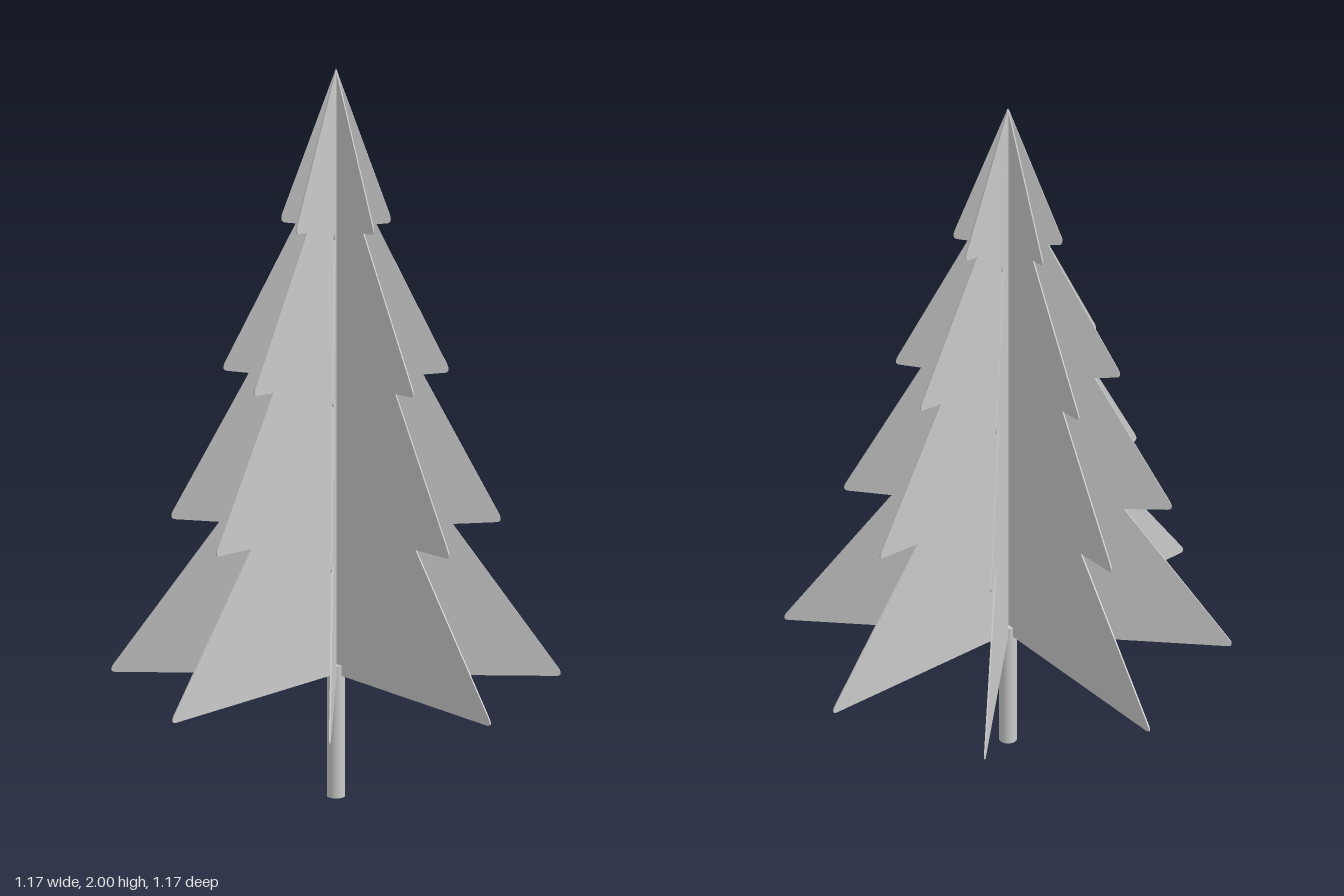
import * as THREE from 'three';

const THICKNESS = 0.004;

// Half silhouette, from the top point down the stepped edge to the trunk axis
function finShape() {
  // [tip radius, tip bottom y, notch radius, notch y]
  const tiers = [
    [0.149, 1.578, 0.105, 1.576],
    [0.301, 1.168, 0.227, 1.163],
    [0.437, 0.758, 0.304, 0.752],
    [0.595, 0.336, 0, 0.336],
  ];
  const shape = new THREE.Shape();
  shape.moveTo(0, 2);
  let px = 0.003, py = 1.995;
  shape.lineTo(px, py);
  for (const [tx, ty, nx, ny] of tiers) {
    // Rounded branch tip
    const len = Math.hypot(tx - px, ty - py), r = 0.027;
    shape.lineTo(tx - (tx - px) / len * r, ty - (ty - py) / len * r);
    shape.quadraticCurveTo(tx, ty, tx - 0.02, ty);
    shape.lineTo(nx, ny);
    px = nx;
    py = ny;
  }
  shape.closePath();
  return shape;
}

export function createModel() {
  const tree = new THREE.Group();
  tree.name = 'tree';
  const material = new THREE.MeshStandardMaterial({ color: 0xcccccc });

  // Eight flat fins around the axis
  const finGeometry = new THREE.ExtrudeGeometry(finShape(), {
    depth: THICKNESS, bevelEnabled: false, curveSegments: 6,
  });
  finGeometry.translate(0, 0, -THICKNESS / 2);
  for (let i = 0; i < 8; i++) {
    const fin = new THREE.Mesh(finGeometry, material);
    fin.name = `foliageFin${i + 1}`;
    fin.rotation.y = i * Math.PI / 4;
    tree.add(fin);
  }

  // Round trunk, its top set into the fins
  const trunk = new THREE.Mesh(new THREE.CylinderGeometry(0.024, 0.024, 0.364, 24), material);
  trunk.name = 'trunk';
  trunk.position.y = 0.182;
  tree.add(trunk);

  return tree;
}
